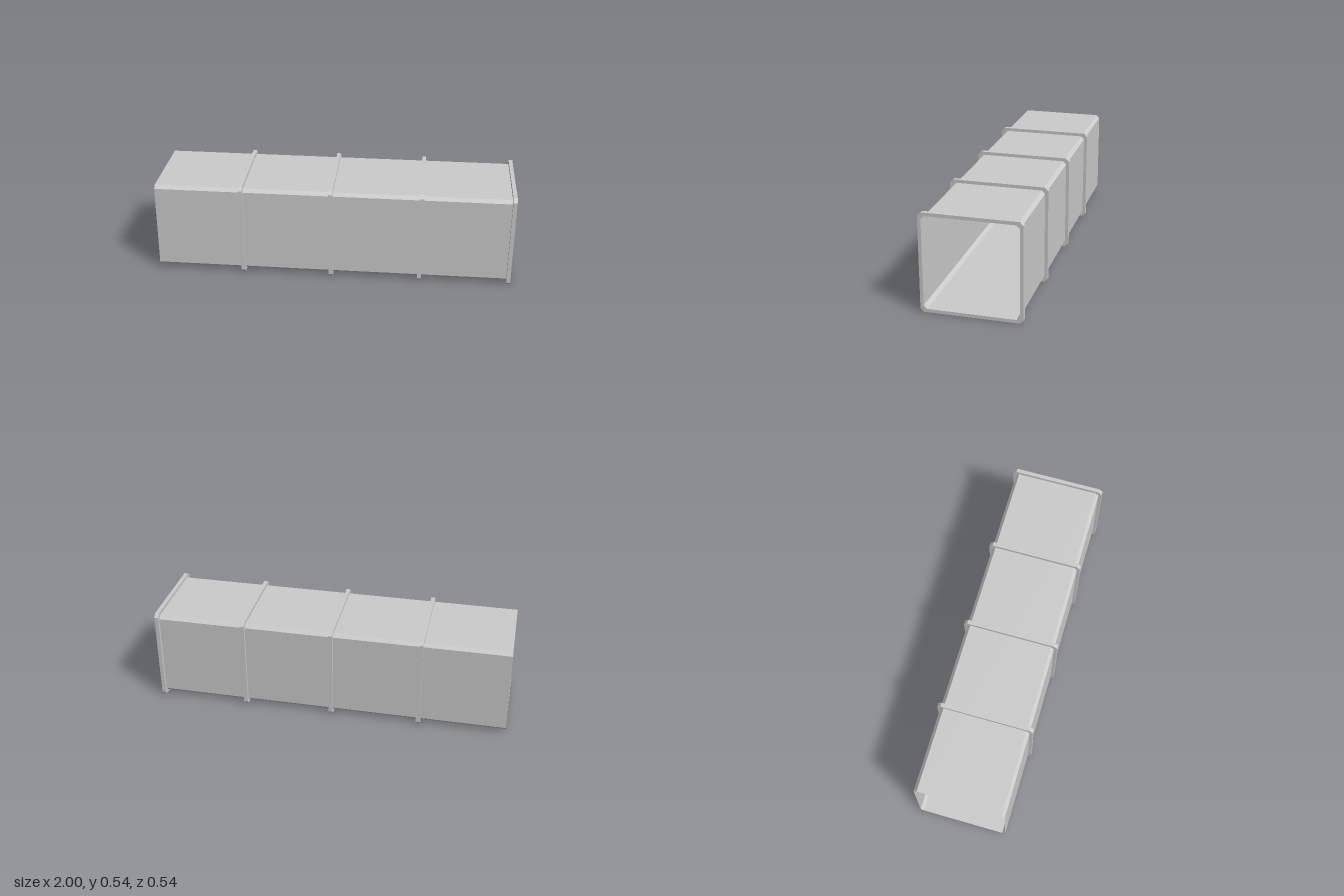
import * as THREE from 'three';

const CY = 0.269; // height of the duct axis

// Square with chamfered corners, counter-clockwise
function octagon(half, chamfer) {
  const h = half, k = half - chamfer;
  return [[h, -k], [h, k], [k, h], [-k, h], [-h, k], [-h, -k], [-k, -h], [k, -h]]
    .map(([x, y]) => new THREE.Vector2(x, y));
}

export function createModel() {
  const group = new THREE.Group();
  const material = new THREE.MeshStandardMaterial({ color: 0xcccccc, flatShading: true });
  const sheet = material.clone();
  sheet.side = THREE.DoubleSide;

  // Thin open duct: one loop of flat panels swept along x
  const outline = octagon(0.251, 0.018);
  const positions = [];
  const index = [];
  outline.forEach((p, i) => {
    const endX = p.y > 0 ? -0.995 : -1; // open end is cut very slightly askew
    positions.push(endX, CY + p.y, -p.x, 1, CY + p.y, -p.x);
    const a = 2 * i, b = 2 * ((i + 1) % outline.length);
    index.push(a, a + 1, b + 1, a, b + 1, b);
  });
  const ductGeometry = new THREE.BufferGeometry();
  ductGeometry.setAttribute('position', new THREE.Float32BufferAttribute(positions, 3));
  ductGeometry.setIndex(index);
  const ductFlat = ductGeometry.toNonIndexed();
  ductFlat.computeVertexNormals();
  const duct = new THREE.Mesh(ductFlat, sheet);
  duct.name = 'ductWalls';
  group.add(duct);

  // Flange frames at the joints and at the +x end
  const frame = new THREE.Shape(octagon(0.269, 0.019));
  frame.holes.push(new THREE.Path(octagon(0.251, 0.018)));
  const flangeGeometry = new THREE.ExtrudeGeometry(frame, { depth: 0.022, bevelEnabled: false });
  flangeGeometry.rotateY(Math.PI / 2);
  [-0.5, 0, 0.5, 1].forEach((x, i) => {
    const flange = new THREE.Mesh(flangeGeometry, material);
    flange.name = `flange${i + 1}`;
    flange.position.set((x === 1 ? 1 : x + 0.001) - 0.022, CY, 0);
    group.add(flange);
  });

  return group;
}
